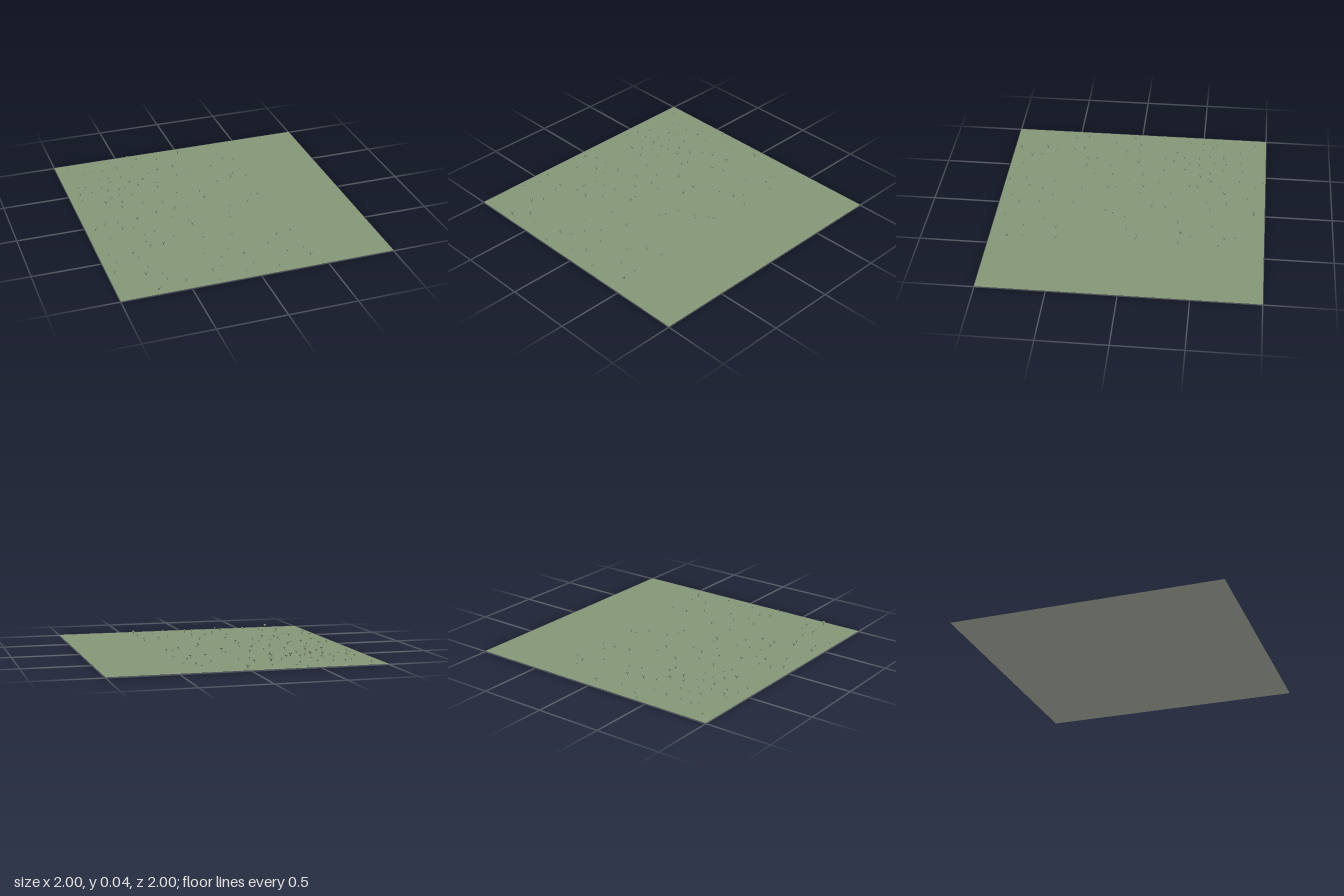
import * as THREE from 'three';

const material = (name, color) => {
  const m = new THREE.MeshStandardMaterial({ color });
  m.name = name;
  return m;
};

// Tree sites as x, z pairs, grouped by tree size
const largeTrees = [
  0, -.92, -.24, -.69, -.11, -.71, -.39, -.58, -.45, -.5, -.76, -.3, -.03, -.15, -.6, 0,
  -.24, .2, -.52, .4, -.75, .74, -.72, .95, .42, .87, .27, -.39,
];
const mediumTrees = [
  -.54, -.82, -.85, -.58, -.72, -.67, -.7, -.48, -.61, -.48, -.5, -.57, -.7, -.36,
  -.5, -.21, -.66, -.21, -.03, -.26, -.21, -.28, -.44, -.05, -.29, -.07, -.85, 0,
  -.93, .05, -.74, .1, .26, .01, .37, -.07, .15, -.36, .31, -.71, -.62, .4,
  -.93, .43, -.76, .45, -.22, .4, -.02, .44, .29, .53, .41, .51, -.3, .84,
  -.63, .85, 0, .85, -.63, .33, -.64, -.28, -.32, -.42, -.31, -.48,
];
const smallTrees = [
  -.91, -.91, -.75, -.82, -.8, -.8, -.66, -.81, -.42, -.8, -.35, -.92, -.41, -.98,
  -.19, -.87, -.64, -.69, -.55, -.67, -.33, -.66, -.9, -.61, -.73, -.56, -.65, -.6,
  -.91, -.5, -.82, -.5, -.56, -.5, -.92, -.4, -.63, -.4, -.54, -.37, -.12, -.56,
  -.03, -.59, .18, -.62, .29, -.79, .39, -.67, .31, -.46, .39, -.38, -.35, -.18,
  -.2, -.05, .32, -.07, -.75, 0, -.66, .1, -.35, .05, -.25, .14, .11, .04,
  .07, .13, .06, .19, -.86, .2, -.61, .23, -.53, .21, -.43, .19, -.42, .32,
  -.9, .53, -.74, .52, -.95, .65, -.71, .66, -.64, .77, -.51, .9, -.29, .62,
  -.19, .7, -.11, .61, -.22, .81, -.02, .7, -.08, .92, -.29, .97, .16, .93,
  .19, .63, .28, .77, .41, .76,
];

export function createModel() {
  const model = new THREE.Group();
  model.name = 'meadow';
  const grass = material('grass green', 0x869978);
  const base = material('pale underside', 0xc8d0bf);
  const leaves = material('leaf green', 0x7b8f74);
  const bark = material('bark brown', 0x6a6054);

  // Flat ground and its underside
  const groundHeight = 0.004;
  const plane = new THREE.PlaneGeometry(2, 2);
  const ground = new THREE.Mesh(plane, grass);
  ground.name = 'ground';
  ground.rotation.x = -Math.PI / 2;
  ground.position.y = groundHeight;
  const underside = new THREE.Mesh(plane, base);
  underside.name = 'underside';
  underside.rotation.x = Math.PI / 2;
  model.add(ground, underside);

  // Tree parts, standing on the ground and scaled per size
  const trunkGeometry = new THREE.CylinderGeometry(0.0015, 0.002, 0.016, 6).translate(0, 0.008, 0);
  const crownGeometry = new THREE.SphereGeometry(0.01, 14, 10).scale(1, 0.8, 1).translate(0, 0.022, 0);

  const plant = (sites, size) => {
    for (let i = 0; i < sites.length; i += 2) {
      const tree = new THREE.Group();
      tree.name = 'tree';
      const trunk = new THREE.Mesh(trunkGeometry, bark);
      trunk.name = 'trunk';
      const crown = new THREE.Mesh(crownGeometry, leaves);
      crown.name = 'crown';
      tree.add(trunk, crown);
      tree.position.set(sites[i], groundHeight, sites[i + 1]);
      tree.scale.setScalar(size);
      model.add(tree);
    }
  };
  plant(largeTrees, 1.08);
  plant(mediumTrees, 0.9);
  plant(smallTrees, 0.68);
  return model;
}
